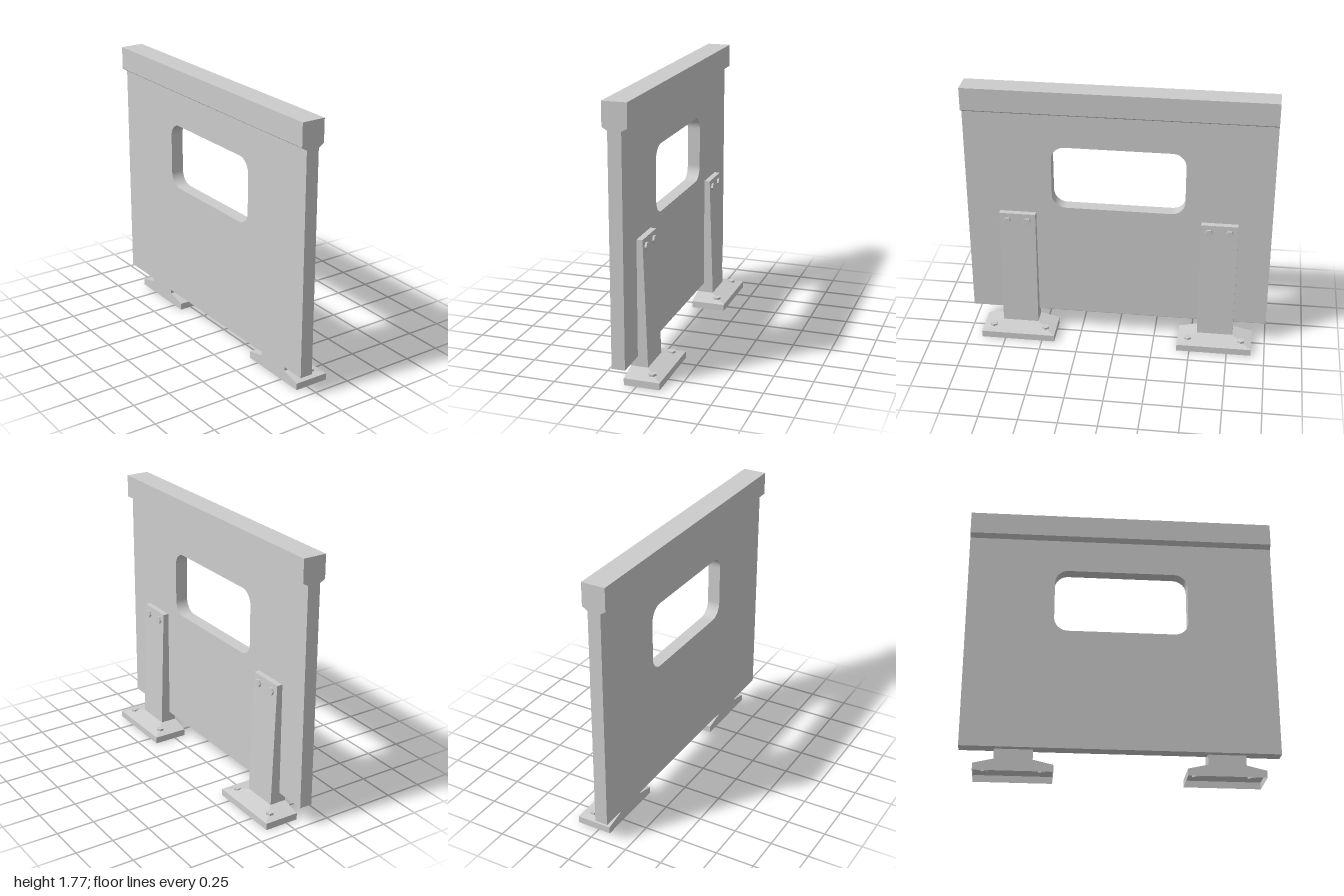
import * as THREE from 'three';

const grey = new THREE.MeshStandardMaterial({ color: 0xcccccc, flatShading: true });
const greyThin = new THREE.MeshStandardMaterial({ color: 0xcccccc, flatShading: true, side: THREE.DoubleSide });

function part(name, geometry, material = grey) {
  const mesh = new THREE.Mesh(geometry, material);
  mesh.name = name;
  return mesh;
}

// Rectangle with rounded corners, centred on (0, cy)
function roundedWindow(w, h, r, cy) {
  const p = new THREE.Path();
  const x = w / 2 - r, y = h / 2 - r;
  p.absarc(x, cy + y, r, 0, Math.PI / 2);
  p.absarc(-x, cy + y, r, Math.PI / 2, Math.PI);
  p.absarc(-x, cy - y, r, Math.PI, Math.PI * 1.5);
  p.absarc(x, cy - y, r, Math.PI * 1.5, Math.PI * 2);
  p.closePath();
  return p;
}

// Stacked rectangular sections [y, back x, front x, half width], open below, closed above
function loftRects(sections) {
  const pos = [], index = [];
  for (const [y, x0, x1, w] of sections) pos.push(x0, y, w, x1, y, w, x1, y, -w, x0, y, -w);
  const last = (sections.length - 1) * 4;
  for (let a = 0; a < last; a += 4) {
    for (let i = 0; i < 4; i++) {
      const j = (i + 1) % 4;
      index.push(a + i, a + j, a + j + 4, a + i, a + j + 4, a + i + 4);
    }
  }
  index.push(last, last + 1, last + 2, last, last + 2, last + 3);
  const g = new THREE.BufferGeometry();
  g.setAttribute('position', new THREE.Float32BufferAttribute(pos, 3));
  g.setIndex(index);
  const flat = g.toNonIndexed();
  flat.computeVertexNormals();
  return flat;
}

// Hollow foot with sloping top, tapered post, and hex bolts
function createSupport() {
  const group = new THREE.Group();
  group.add(part('footPlate', loftRects([
    [0, -0.08, 0.15, 0.248],
    [0.045, -0.08, 0.15, 0.248],
    [0.075, -0.08, 0.03, 0.12],
  ]).setDrawRange(0, 48) ?? undefined, greyThin));
  return group;
}

function createFootAndPost(z) {
  const group = new THREE.Group();
  group.name = z > 0 ? 'leftSupport' : 'rightSupport';
  group.position.z = z;
  group.add(part('footAndPost', loftRects([
    [0, -0.08, 0.15, 0.248],
    [0.045, -0.08, 0.15, 0.248],
    [0.075, -0.08, 0.03, 0.12],
    [0.893, -0.08, 0.002, 0.12],
  ]), greyThin));

  for (const side of [-1, 1]) {
    const postBolt = part('postBolt', new THREE.CylinderGeometry(0.026, 0.026, 0.025, 6).rotateZ(-Math.PI / 2));
    postBolt.position.set(0.004, 0.84, side * 0.067);
    const footBolt = part('footBolt', new THREE.CylinderGeometry(0.026, 0.026, 0.03, 6).rotateY(Math.PI / 6));
    footBolt.position.set(0.078, 0.056, side * 0.178);
    group.add(postBolt, footBolt);
  }
  return group;
}

export function createModel() {
  const model = new THREE.Group();
  model.name = 'barrierPanel';

  // Upright panel with a rounded window
  const outline = new THREE.Shape([[-1, 0.14], [1, 0.14], [1, 1.6], [-1, 1.6]].map(([x, y]) => new THREE.Vector2(x, y)));
  outline.holes.push(roundedWindow(0.87, 0.435, 0.09, 1.158));
  const panel = part('panel', new THREE.ExtrudeGeometry(outline, { depth: 0.085, bevelEnabled: false, curveSegments: 8 }).rotateY(Math.PI / 2));
  panel.position.x = -0.121;
  model.add(panel);

  // Top rail with a chamfered underside
  const railProfile = new THREE.Shape([
    [-0.121, 1.597], [-0.036, 1.597], [0, 1.618], [0, 1.768], [-0.155, 1.768], [-0.155, 1.618],
  ].map(([x, y]) => new THREE.Vector2(x, y)));
  model.add(part('topRail', new THREE.ExtrudeGeometry(railProfile, { depth: 2, bevelEnabled: false }).translate(0, 0, -1)));

  // Two bolted supports
  for (const z of [-0.663, 0.663]) model.add(createFootAndPost(z));
  return model;
}
